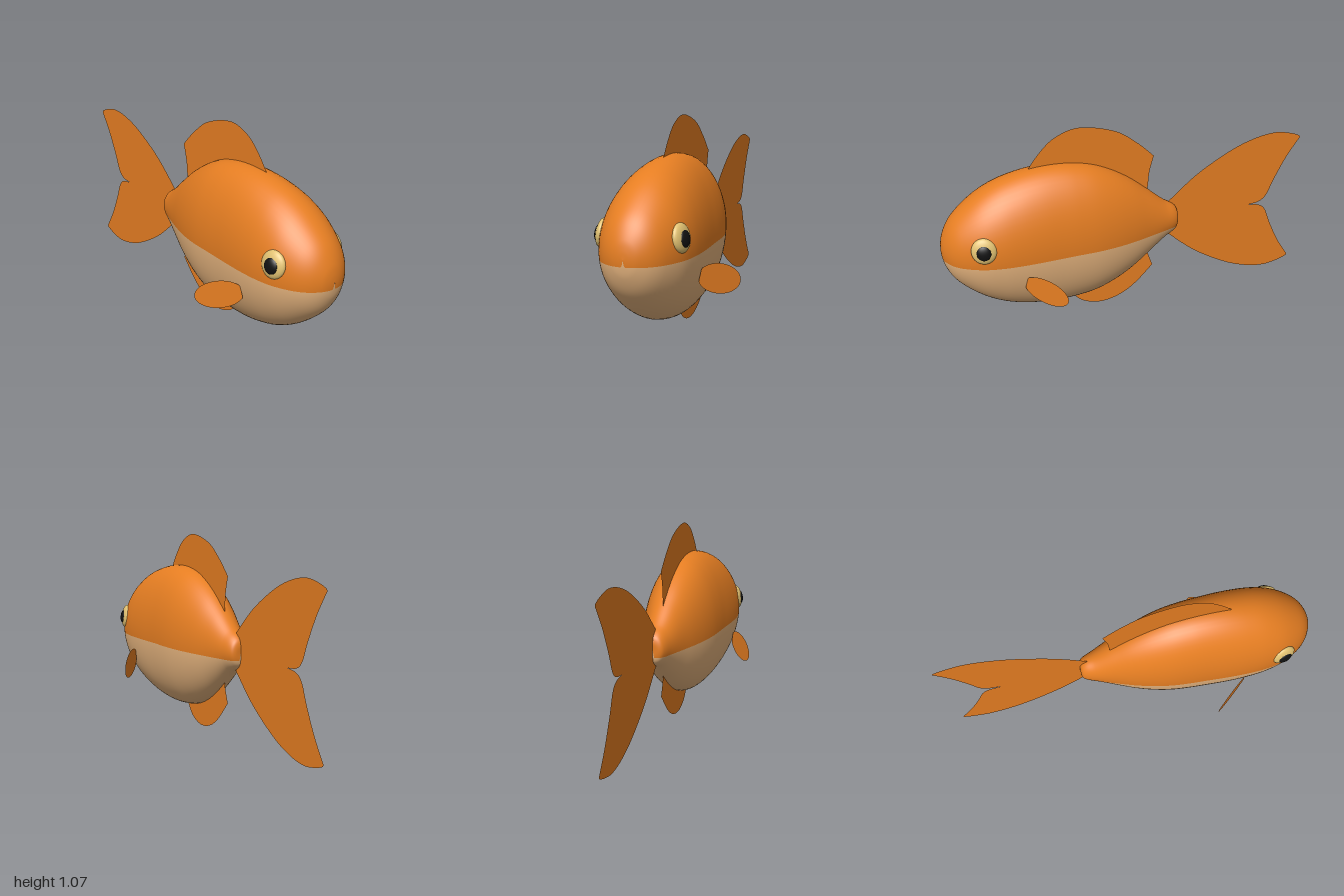
import * as THREE from 'three';

const flat = (name, color, side = THREE.FrontSide) => {
  const m = new THREE.MeshStandardMaterial({ color, side });
  m.name = name;
  return m;
};

// Body: elliptical rings along x, split into back and belly at a waterline
function bodyGeometry() {
  const stations = [ // x, half height, half width
    [-0.28, 0, 0], [-0.279, 0.04, 0.032], [-0.27, 0.066, 0.05], [-0.25, 0.085, 0.062],
    [-0.2, 0.115, 0.08], [-0.1, 0.198, 0.115], [0, 0.276, 0.15], [0.1, 0.335, 0.178],
    [0.2, 0.375, 0.197], [0.3, 0.394, 0.207], [0.4, 0.4, 0.213], [0.5, 0.394, 0.219],
    [0.6, 0.376, 0.222], [0.7, 0.345, 0.219], [0.8, 0.292, 0.203], [0.9, 0.212, 0.16],
    [0.95, 0.155, 0.12], [0.985, 0.086, 0.068], [0.996, 0.042, 0.034], [1, 0, 0],
  ];
  const curve = new THREE.CatmullRomCurve3(stations.map(s => new THREE.Vector3(...s)), false, 'centripetal');
  const rings = 114, half = 32, n = half * 2;
  const pos = [], back = [], belly = [];
  for (let i = 0; i <= rings; i++) {
    const p = curve.getPoint(i / rings);
    const h = Math.max(p.y, 0.0005), w = Math.max(p.z, 0.0005);
    const t = THREE.MathUtils.clamp((p.x + 0.28) / 0.6, 0, 1);
    const cy = 0.485 + 0.011 * t, line = 0.446 + 0.018 * t;
    const a0 = Math.asin(THREE.MathUtils.clamp((line - cy) / h, -0.97, 0.97));
    for (let j = 0; j < n; j++) {
      const a = j < half
        ? a0 + (Math.PI - 2 * a0) * j / half
        : Math.PI - a0 + (Math.PI + 2 * a0) * (j - half) / half;
      pos.push(p.x, cy + h * Math.sin(a), w * Math.cos(a));
    }
  }
  for (let i = 0; i < rings; i++) {
    for (let j = 0; j < n; j++) {
      const a = i * n + j, c = i * n + (j + 1) % n;
      (j < half ? back : belly).push(a, a + n, c, a + n, c + n, c);
    }
  }
  const g = new THREE.BufferGeometry();
  g.setAttribute('position', new THREE.Float32BufferAttribute(pos, 3));
  g.setIndex([...back, ...belly]);
  g.addGroup(0, back.length, 0);
  g.addGroup(back.length, belly.length, 1);
  g.computeVertexNormals();
  return g;
}

// Flat fin outlined by smooth runs of points joined at sharp corners
function finGeometry(...runs) {
  const shape = new THREE.Shape();
  shape.moveTo(...runs[0][0]);
  for (const run of runs) shape.splineThru(run.slice(1).map(p => new THREE.Vector2(...p)));
  return new THREE.ShapeGeometry(shape, 12);
}

export function createModel() {
  const model = new THREE.Group();
  model.name = 'fish';
  const orange = flat('orange', 0xe67e22);
  const tan = flat('belly tan', 0xe6b47e);
  const finOrange = orange.clone();
  finOrange.name = 'fin orange';
  finOrange.side = THREE.DoubleSide;
  const gold = flat('eye gold', 0xe2c272);
  const black = flat('pupil black', 0x111111);

  const add = (name, geometry, material, parent = model) => {
    const mesh = new THREE.Mesh(geometry, material);
    mesh.name = name;
    parent.add(mesh);
    return mesh;
  };

  add('body', bodyGeometry(), [orange, tan]);

  // Forked tail, mirrored about its own middle line
  const mid = 0.483;
  const flip = run => run.map(([x, y]) => [x, 2 * mid - y]).reverse();
  const outer = [[-0.15, 0.52], [-0.21, 0.565], [-0.39, 0.72], [-0.58, 0.835], [-0.72, 0.89],
    [-0.84, 0.91], [-0.93, 0.897], [-0.99, 0.876], [-1, 0.862]];
  const inner = [[-1, 0.862], [-0.93, 0.755], [-0.865, 0.625], [-0.825, 0.53], [-0.78, 0.493], [-0.71, mid]];
  add('tailFin', finGeometry(outer, inner, flip(inner), flip(outer)), finOrange);

  add('dorsalFin', finGeometry(
    [[-0.1, 0.6], [-0.112, 0.7], [-0.12, 0.78], [-0.143, 0.868]],
    [[-0.143, 0.868], [-0.05, 0.955], [0.07, 1.035], [0.25, 1.077], [0.38, 1.04], [0.47, 0.96], [0.54, 0.86], [0.56, 0.78]],
    [[0.56, 0.78], [0.2, 0.72], [-0.1, 0.6]],
  ), finOrange);

  add('analFin', finGeometry(
    [[-0.1, 0.38], [-0.115, 0.28], [-0.145, 0.193]],
    [[-0.145, 0.193], [-0.04, 0.085], [0.06, 0.023], [0.17, 0.003], [0.27, 0.035], [0.33, 0.105], [0.36, 0.18]],
    [[0.36, 0.18], [0.1, 0.3], [-0.1, 0.38]],
  ), finOrange);

  // Paddle fin with a blunt root
  const paddle = [];
  for (let i = 0; i < 48; i++) {
    const a = i / 48 * Math.PI * 2;
    paddle.push(new THREE.Vector2(Math.min(0.11, 0.126 * Math.cos(a) - 0.003), 0.072 * Math.sin(a)));
  }
  const paddleGeometry = new THREE.ShapeGeometry(new THREE.Shape(paddle)).rotateZ(0.267);
  const ball = new THREE.SphereGeometry(1, 32, 20);

  for (const [label, s] of [['front', 1], ['back', -1]]) {
    const fin = add(label + 'PectoralFin', paddleGeometry, finOrange);
    fin.position.set(0.522, 0.325, s * 0.275);
    fin.rotation.y = s * 0.67;

    const eye = new THREE.Group();
    eye.name = label + 'Eye';
    eye.position.set(0.8, 0.567, s * 0.19);
    eye.rotation.set(-s * 0.16, s * 0.2, 0);
    model.add(eye);
    add('eyeball', ball, gold, eye).scale.set(0.064, 0.068, 0.027);
    const pupil = add('pupil', ball, black, eye);
    pupil.scale.set(0.037, 0.04, 0.016);
    pupil.position.set(0, -0.004, s * 0.018);
  }
  return model;
}
